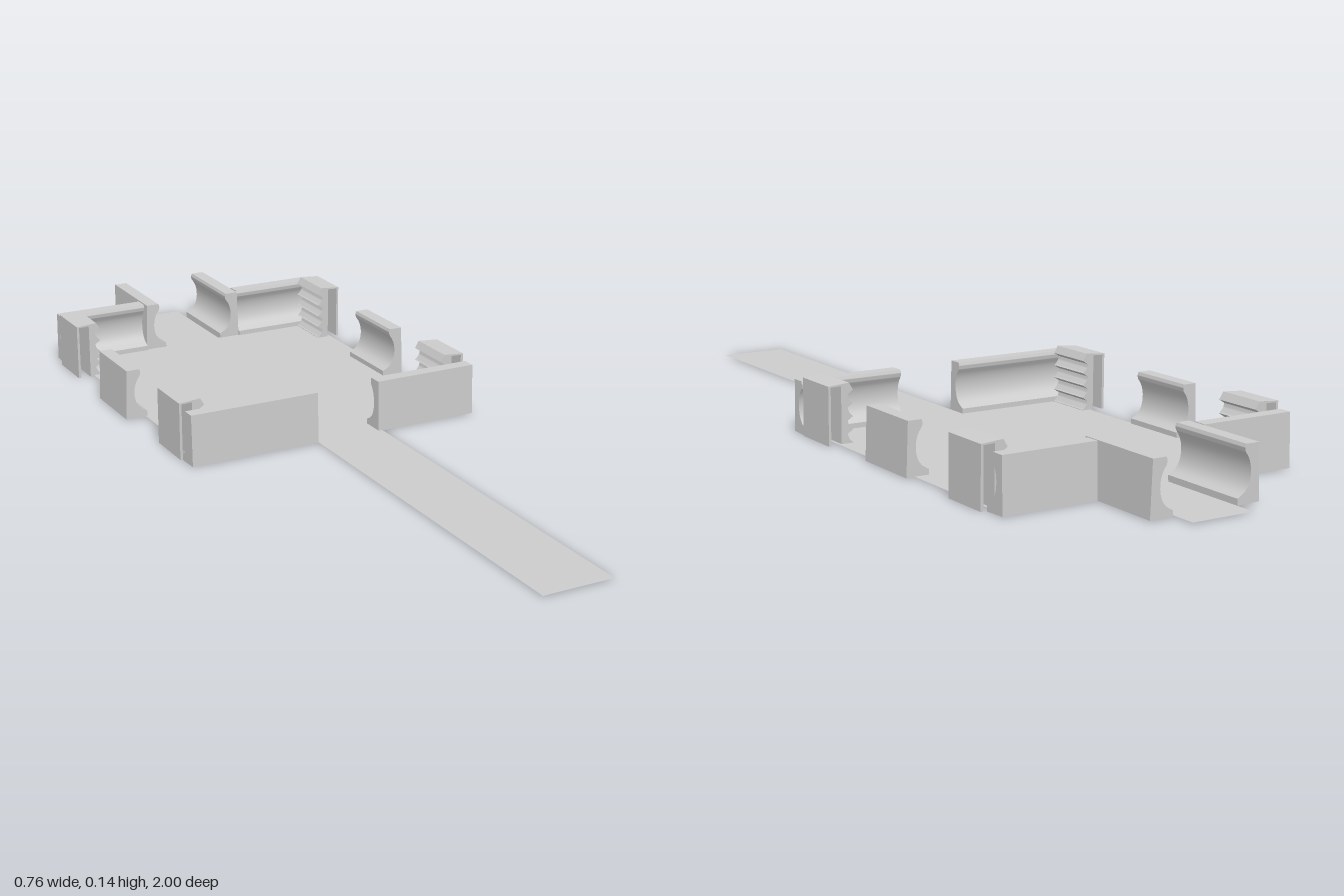
import * as THREE from 'three';
import { toCreasedNormals } from 'three/addons/utils/BufferGeometryUtils.js';

const material = new THREE.MeshStandardMaterial({ color: 0xcccccc, side: THREE.DoubleSide });

// Cross-sections: x is the distance inward from the outer face, y is height.
// Low wall: upright back, rounded lip, hollow inner face and a projecting foot.
function coveProfile(depth, height) {
  const s = new THREE.Shape();
  s.moveTo(0, 0.005);
  s.lineTo(0.004, height);
  s.lineTo(depth * 0.66, height);
  s.quadraticCurveTo(depth * 0.76, height - 0.008, depth * 0.66, height - 0.018);
  s.bezierCurveTo(depth * 0.3, height - 0.04, depth * 0.32, 0.038, depth * 0.8, 0.024);
  s.lineTo(depth, 0.018);
  s.lineTo(depth, 0.003);
  s.closePath();
  return s;
}

// Corner unit: thin back panel and top sheet over a body with a rippled inner face.
function rippleProfile(depth) {
  const s = new THREE.Shape();
  s.moveTo(0, 0.004);
  s.lineTo(0, 0.14);
  s.lineTo(depth - 0.01, 0.144);
  s.lineTo(depth, 0.127);
  const ripples = 4, step = 0.12 / ripples;
  for (let i = 0; i < ripples; i++) {
    const y = 0.127 - i * step;
    s.lineTo(depth - 0.014, y - step * 0.3);
    s.quadraticCurveTo(depth - 0.012, y - step * 0.75, depth, y - step);
  }
  s.lineTo(depth, 0.003);
  s.lineTo(0.032, 0.003);
  s.lineTo(0.032, 0.138);
  s.lineTo(0.006, 0.137);
  s.lineTo(0.006, 0.004);
  s.closePath();
  return s;
}

// Which way each side's profile turns so that it faces inward.
const TURN = { right: 0, left: Math.PI, front: Math.PI / 2, back: -Math.PI / 2 };

// Sweeps a profile along one side, from a to b, with its outer face at "outer".
function addWall(group, name, profile, side, outer, a, b) {
  const extruded = new THREE.ExtrudeGeometry(profile, { depth: b - a, bevelEnabled: false, curveSegments: 10 });
  const mesh = new THREE.Mesh(toCreasedNormals(extruded, 0.6), material);
  mesh.name = name;
  mesh.rotation.y = TURN[side];
  if (side === 'right') mesh.position.set(outer, 0, a);
  if (side === 'left') mesh.position.set(outer, 0, b);
  if (side === 'front') mesh.position.set(a, 0, outer);
  if (side === 'back') mesh.position.set(b, 0, outer);
  group.add(mesh);
}

export function createModel() {
  const model = new THREE.Group();
  model.name = 'walledCourt';

  // Flat floor with the rear recess and the long entrance path
  const outline = [
    [-0.045, 1], [0.125, 1], [0.125, 0.06], [0.355, 0.06], [0.355, -0.73], [0.08, -0.73],
    [0.08, -1], [-0.07, -1], [-0.07, -0.73], [-0.33, -0.73], [-0.33, 0.06], [-0.045, 0.06],
  ];
  const floorShape = new THREE.Shape(outline.map(([x, z]) => new THREE.Vector2(x, -z)));
  const floor = new THREE.Mesh(new THREE.ShapeGeometry(floorShape).rotateX(-Math.PI / 2), material);
  floor.name = 'floor';
  floor.position.y = 0.006;
  model.add(floor);

  const cove = coveProfile(0.055, 0.127);
  const ripple = rippleProfile(0.062);

  // Front and back walls, each broken by a gap
  addWall(model, 'frontWallRight', cove, 'front', 0.085, -0.365, -0.045);
  addWall(model, 'frontWallLeft', cove, 'front', 0.085, 0.115, 0.375);
  addWall(model, 'backWallRight', cove, 'back', -0.775, -0.36, -0.13);
  addWall(model, 'backWallLeft', cove, 'back', -0.775, 0.14, 0.365);

  // Walls of the rear recess
  addWall(model, 'recessWallRight', cove, 'right', -0.13, -0.945, -0.725);
  addWall(model, 'recessWallLeft', cove, 'left', 0.14, -0.945, -0.725);

  // Side walls in the middle and rippled units at the corners
  addWall(model, 'sideWallRight', cove, 'right', -0.38, -0.435, -0.265);
  addWall(model, 'sideWallLeft', cove, 'left', 0.375, -0.425, -0.25);
  for (const [place, a, b] of [['front', -0.092, 0.03], ['back', -0.72, -0.6]]) {
    addWall(model, place + 'CornerRight', ripple, 'right', -0.371, a, b);
    addWall(model, place + 'CornerLeft', ripple, 'left', 0.38, a, b);
  }

  return model;
}
